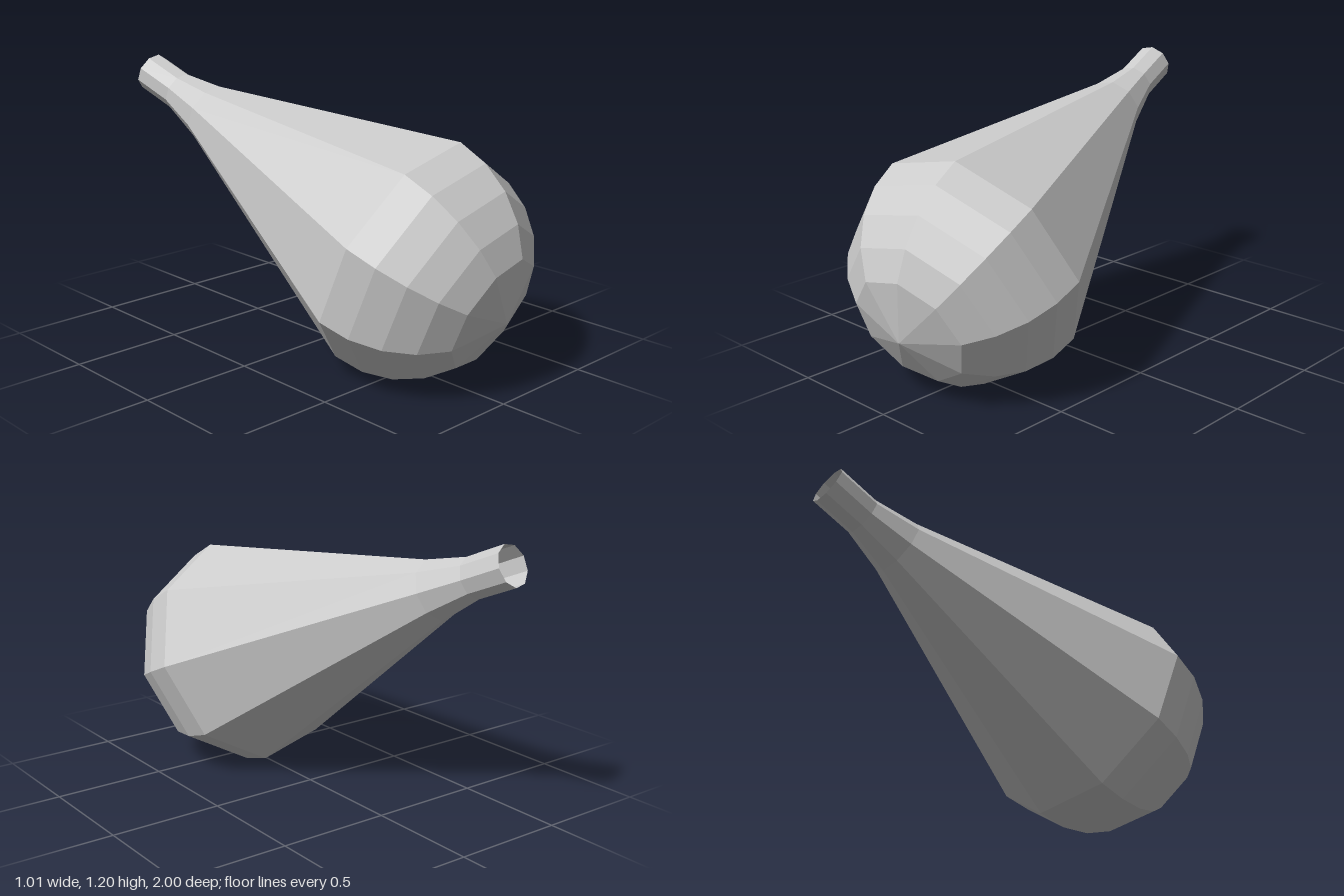
import * as THREE from 'three';

export function createModel() {
  const group = new THREE.Group();
  const R = 0.525; // bulb radius

  // Profile from the rounded pole, over the bulb, to the open neck
  const profile = [new THREE.Vector2(0, 0)];
  for (const deg of [30, 45, 60, 75, 90]) {
    const a = THREE.MathUtils.degToRad(deg);
    profile.push(new THREE.Vector2(R * Math.sin(a), R * (1 - Math.cos(a))));
  }
  profile.push(
    new THREE.Vector2(0.13, 1.716),
    new THREE.Vector2(0.088, 1.913),
    new THREE.Vector2(0.088, 2.106),
  );

  // Nine-sided hollow bulb with a tapering neck
  const bulb = new THREE.Mesh(
    new THREE.LatheGeometry(profile, 9),
    new THREE.MeshStandardMaterial({ color: 0xcccccc, flatShading: true, side: THREE.DoubleSide }),
  );
  bulb.name = 'bulbWithNeck';

  // Tilt: the neck points back, up and slightly right; one ridge faces up
  const axis = new THREE.Vector3(-0.14, 0.387, -0.912).normalize();
  const ridge = new THREE.Vector3(0.198, 0.913, 0.358);
  const side = new THREE.Vector3().crossVectors(axis, ridge).normalize();
  ridge.crossVectors(side, axis);
  bulb.quaternion.setFromRotationMatrix(new THREE.Matrix4().makeBasis(side, axis, ridge));
  bulb.position.set(0.06, 0.315, 0.955);

  group.add(bulb);
  return group;
}
